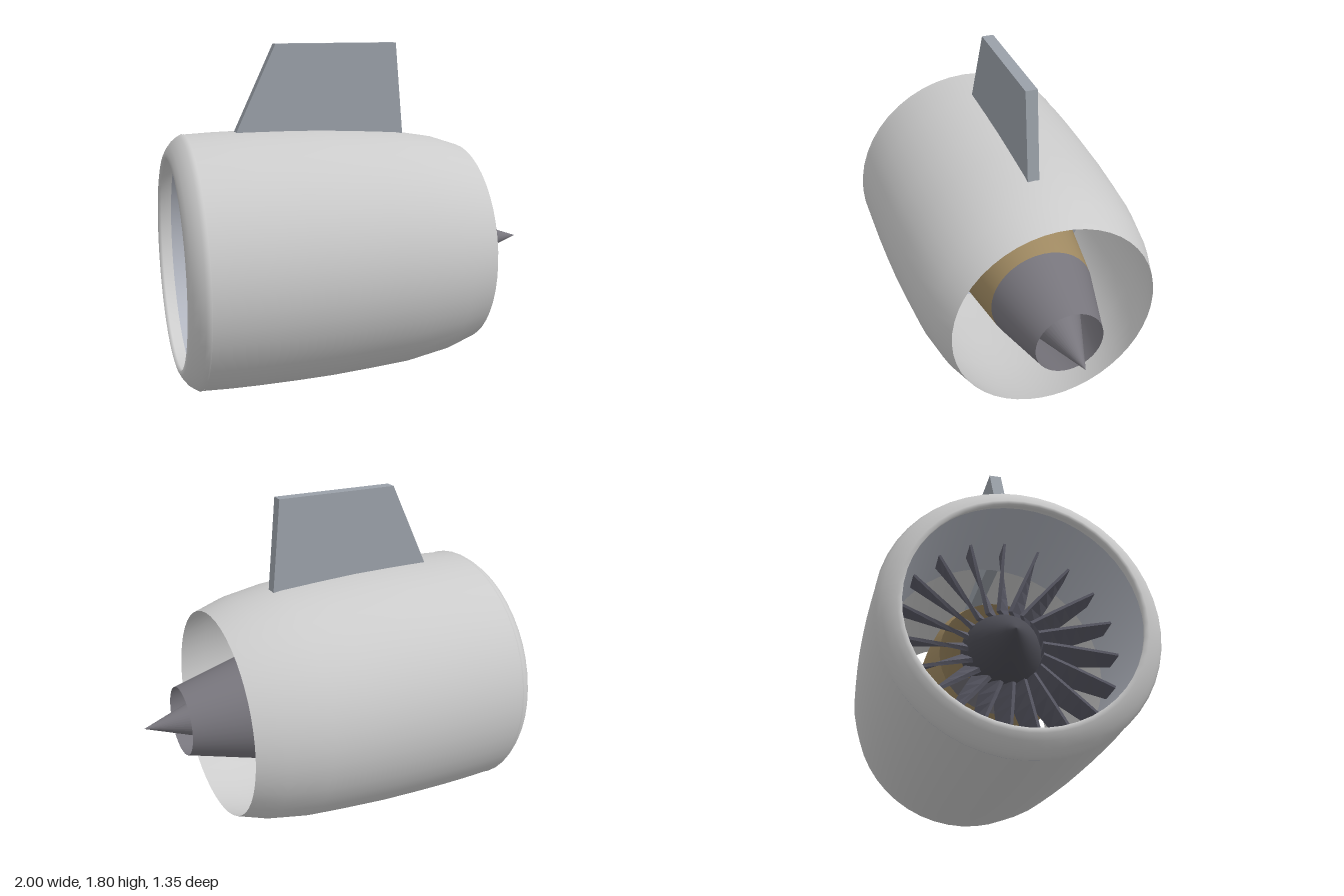
import * as THREE from 'three';

const AXIS_Y = 0.68;
const BLADES = 20;

function material(color, side = THREE.DoubleSide) {
  return new THREE.MeshStandardMaterial({ color, side });
}

// Revolves [x, radius] points around the engine's x axis
function revolve(name, profile, mat, sides = 48) {
  const points = profile.map(([x, r]) => new THREE.Vector2(r, x));
  const geometry = new THREE.LatheGeometry(points, sides).rotateZ(-Math.PI / 2);
  const mesh = new THREE.Mesh(geometry, mat);
  mesh.name = name;
  return mesh;
}

// Thin blade along +y, twisting from root to tip
function bladeGeometry(rootR, tipR) {
  const length = tipR - rootR;
  const geometry = new THREE.BoxGeometry(1, length, 1, 1, 6, 1).toNonIndexed();
  const pos = geometry.attributes.position;
  for (let i = 0; i < pos.count; i++) {
    const t = pos.getY(i) / length + 0.5;
    const x = pos.getX(i) * 0.13;
    const z = pos.getZ(i) * (0.022 - 0.01 * t);
    const angle = 0.55 * (1 - t) + 0.05;
    pos.setXYZ(i, x * Math.cos(angle) - z * Math.sin(angle),
      rootR + t * length, x * Math.sin(angle) + z * Math.cos(angle));
  }
  geometry.computeVertexNormals();
  return geometry;
}

export function createModel() {
  const model = new THREE.Group();
  model.name = 'jetEngine';
  const engine = new THREE.Group();
  engine.name = 'engineBody';
  engine.position.y = AXIS_Y;
  model.add(engine);

  const shell = material(0xdcdde0);
  const metal = material(0x77757c);

  // Outer cowling and rounded intake lip
  engine.add(revolve('cowling', [
    [-0.9, 0.669], [-0.75, 0.675], [-0.6, 0.677], [-0.4, 0.676], [-0.2, 0.672],
    [0.02, 0.66], [0.23, 0.646], [0.45, 0.608], [0.61, 0.555],
  ], shell));
  engine.add(revolve('intakeLip', [
    [-0.9, 0.595], [-0.94, 0.575], [-0.98, 0.558], [-1, 0.556], [-0.995, 0.578],
    [-0.98, 0.608], [-0.955, 0.64], [-0.93, 0.66], [-0.91, 0.672], [-0.895, 0.666],
  ], shell));
  engine.add(revolve('intakeDuct', [[-0.94, 0.585], [-0.6, 0.575], [-0.35, 0.575]],
    material(0xb4b8c2)));

  // Fan with spinner
  const fan = new THREE.Group();
  fan.name = 'fan';
  fan.position.x = -0.57;
  const blade = bladeGeometry(0.185, 0.565);
  const bladeMat = material(0x5a5a66);
  for (let i = 0; i < BLADES; i++) {
    const mesh = new THREE.Mesh(blade, bladeMat);
    mesh.name = 'fanBlade';
    mesh.rotation.x = (i / BLADES) * Math.PI * 2;
    fan.add(mesh);
  }
  fan.add(revolve('spinner', [
    [-0.25, 0], [-0.22, 0.04], [-0.15, 0.1], [-0.07, 0.16], [0, 0.19], [0.07, 0.2],
  ], material(0x4a4a52, THREE.FrontSide), 32));
  engine.add(fan);

  // Core casing, exhaust nozzle and plug
  engine.add(revolve('coreCasing', [
    [-0.48, 0.3], [-0.4, 0.33], [-0.25, 0.34], [0.05, 0.34], [0.42, 0.284],
  ], material(0xa08a62), 40));
  engine.add(revolve('exhaustNozzle', [[0.42, 0.284], [0.8, 0.183]], metal, 40));
  engine.add(revolve('exhaustPlug', [[0.5, 0.175], [1, 0]], metal, 32));

  // Mounting pylon, its foot reaching through the cowling
  const outline = new THREE.Shape([
    [-0.69, 1.26], [0.277, 1.26], [0.23, 1.805], [-0.43, 1.805],
  ].map(([x, y]) => new THREE.Vector2(x, y)));
  const pylon = new THREE.Mesh(
    new THREE.ExtrudeGeometry(outline, { depth: 0.062, bevelEnabled: false })
      .translate(0, 0, -0.031),
    material(0x9aa0a8));
  pylon.name = 'pylon';
  model.add(pylon);

  return model;
}
